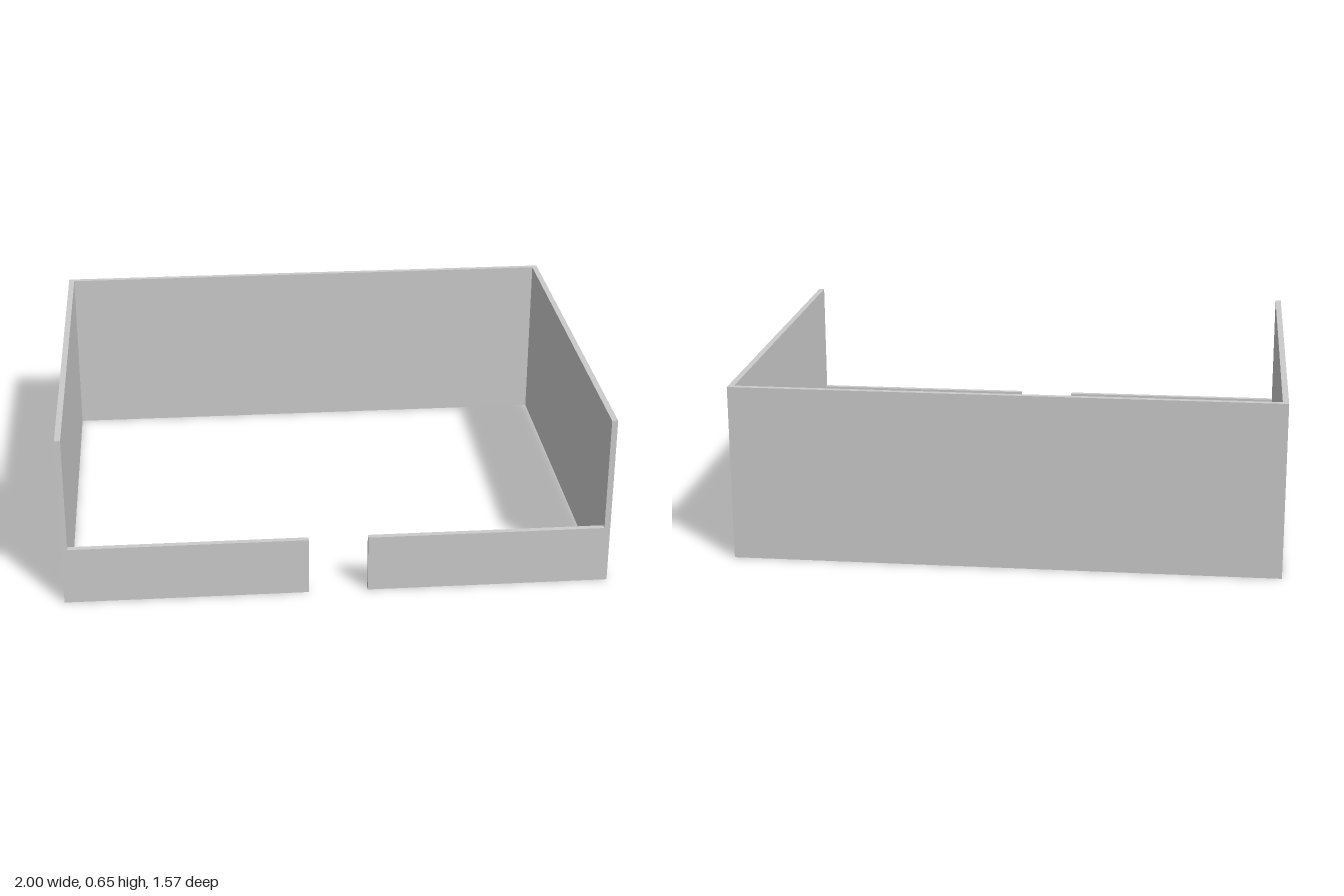
import * as THREE from 'three';

const WIDTH = 2, DEPTH = 1.565, HEIGHT = 0.652;
const THICK = 0.0217, LOW = 0.217, GAP = 0.217;

export function createModel() {
  const group = new THREE.Group();
  const material = new THREE.MeshStandardMaterial({ color: 0xcccccc, flatShading: true });

  // A wall standing on the ground, centred at (x, z)
  function addWall(name, w, h, d, x, z) {
    const wall = new THREE.Mesh(new THREE.BoxGeometry(w, h, d), material);
    wall.name = name;
    wall.position.set(x, h / 2, z);
    group.add(wall);
  }

  // Tall back wall, fitted between the side walls
  const inner = WIDTH - 2 * THICK;
  addWall('backWall', inner, HEIGHT, THICK, 0, -(DEPTH - THICK) / 2);

  // Tall side walls and the low front walls flanking the entrance
  const frontLength = (inner - GAP) / 2;
  for (const [side, s] of [['left', 1], ['right', -1]]) {
    addWall(side + 'SideWall', THICK, HEIGHT, DEPTH, s * (WIDTH - THICK) / 2, 0);
    addWall(side + 'FrontWall', frontLength, LOW, THICK,
      s * (GAP + frontLength) / 2, (DEPTH - THICK) / 2);
  }
  return group;
}
